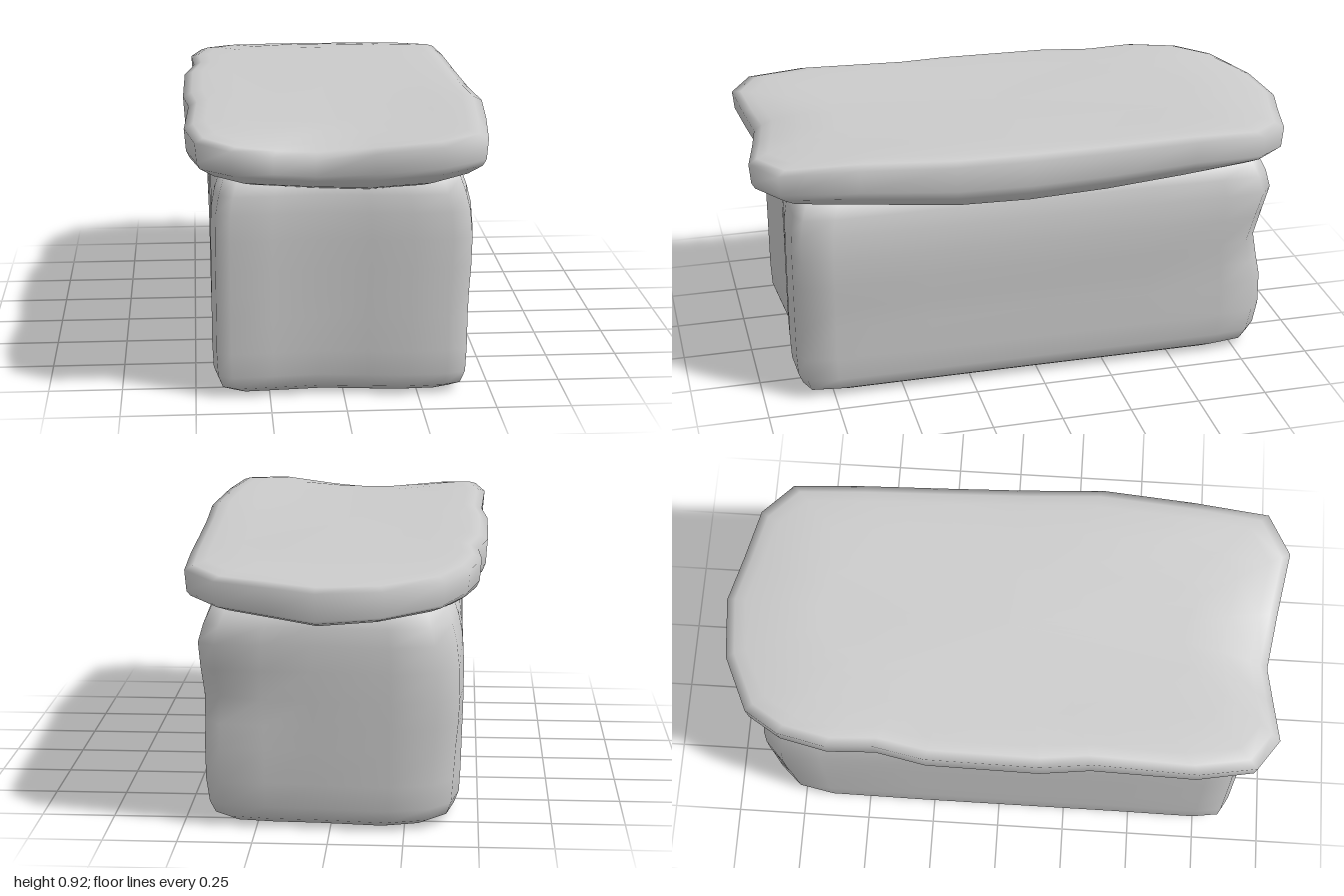
import * as THREE from 'three';

// Skin a stack of [x, y, z] rings into one smooth closed surface
function loft(rings, name, material) {
  const n = rings[0].length;
  const pos = rings.flat(2);
  const idx = [];
  for (let r = 0; r < rings.length - 1; r++) {
    for (let i = 0; i < n; i++) {
      const a = r * n + i, b = r * n + (i + 1) % n;
      idx.push(a, b, b + n, a, b + n, a + n);
    }
  }
  // close both ends with a fan around the middle of the ring
  [[0, true], [rings.length - 1, false]].forEach(([r, flip]) => {
    const c = pos.length / 3;
    for (let k = 0; k < 3; k++) pos.push(rings[r].reduce((s, p) => s + p[k], 0) / n);
    for (let i = 0; i < n; i++) {
      const a = r * n + i, b = r * n + (i + 1) % n;
      if (flip) idx.push(c, b, a); else idx.push(c, a, b);
    }
  });
  const geo = new THREE.BufferGeometry();
  geo.setAttribute('position', new THREE.Float32BufferAttribute(pos, 3));
  geo.setIndex(idx);
  geo.computeVertexNormals();
  const mesh = new THREE.Mesh(geo, material);
  mesh.name = name;
  return mesh;
}

// Pull an outline point inward by d on both axes
const inset = ([x, z], d, hx, hz) => [x * (1 - d / hx), z * (1 - d / hz)];

// Smooth bump of the given width
const bump = (v, centre, width) => Math.exp(-(((v - centre) / width) ** 2));

// Outlines run counter-clockwise seen from above, starting at the front
const lidOutline = [
  [-0.38, 0.977], [-0.24, 0.955], [-0.1, 0.932], [0.1, 0.962], [0.32, 1.0], [0.465, 0.92],
  [0.495, 0.65], [0.527, 0.32], [0.515, 0.05], [0.505, -0.25], [0.495, -0.55],
  [0.485, -0.8], [0.38, -0.91], [0.2, -0.955], [0.04, -1.0], [-0.18, -0.98],
  [-0.38, -0.89], [-0.46, -0.77], [-0.5, -0.6], [-0.49, -0.43], [-0.525, -0.25],
  [-0.53, 0.15], [-0.51, 0.33], [-0.525, 0.7], [-0.49, 0.9],
];
const bodyOutline = [
  [-0.38, 0.872], [-0.24, 0.862], [-0.08, 0.85], [0.08, 0.867], [0.22, 0.88], [0.35, 0.875],
  [0.415, 0.85], [0.43, 0.74], [0.43, 0.4], [0.43, 0], [0.432, -0.4], [0.435, -0.68],
  [0.425, -0.81], [0.37, -0.855], [0.22, -0.86], [0.05, -0.862], [-0.2, -0.882],
  [-0.34, -0.845], [-0.41, -0.77], [-0.437, -0.64], [-0.44, -0.3],
  [-0.44, 0.1], [-0.44, 0.45], [-0.442, 0.75], [-0.428, 0.845],
];

// Wavy upper and lower faces of the slab
const lidTop = (x, z) => 0.905
  + (x > 0 ? 0.02 : 0.01) * bump(z, 0.6, 0.4) * Math.min(1, (x / 0.42) ** 2)
  - 0.09 * Math.max(0, (z - 0.7) / 0.3) ** 2 * (1 - Math.min(1, Math.abs(x + 0.1) / 0.32))
  - 0.045 * Math.max(0, (-z - 0.65) / 0.35) ** 1.5;
const lidBottom = (x, z) => 0.7 + 0.018 * z * z
  + 0.045 * Math.min(1, Math.abs(x) / 0.42) * Math.min(1, (Math.abs(z) / 0.8) ** 1.5);

export function createModel() {
  const group = new THREE.Group();
  group.name = 'stoneChest';
  const stone = new THREE.MeshStandardMaterial({ color: 0xcccccc, roughness: 0.9 });

  // Body: rounded block with worn edges and a chipped back corner
  const bodyLevels = [
    [0.3, 0], [0.14, 0.001], [0.055, 0.008], [0.02, 0.03], [0.004, 0.075], [0, 0.16],
    [0, 0.28], [0, 0.36], [0, 0.45], [0, 0.55], [0.003, 0.64], [0.014, 0.7],
    [0.03, 0.75], [0.1, 0.79],
  ];
  const body = bodyLevels.map(([d, y]) => bodyOutline.map((p) => {
    let [x, z] = inset(p, d, 0.44, 0.87);
    const corner = bump(x, 0.42, 0.16) * bump(z, -0.84, 0.15);
    const chip = corner * bump(y, 0.45, 0.12);
    const knob = corner * (bump(y, 0.65, 0.09) - bump(y, 0, 0.12));
    const swell = bump(y, 0.47, 0.22) * bump(x, -0.4, 0.12) * bump(z, -0.8, 0.16);
    if (x > 0) x += 0.013 * bump(y, 0.53, 0.16);
    x += 0.012 * knob - 0.008 * chip - 0.024 * swell;
    z += 0.042 * chip - 0.02 * knob - 0.024 * swell;
    return [x, y, z];
  }));
  group.add(loft(body, 'body', stone));

  // Lid: [inset, share of the way from lower to upper face]
  const lidLevels = [
    [0.32, 0], [0.18, 0], [0.11, 0], [0.065, 0.08], [0.018, 0.3],
    [0.006, 0.45], [0, 0.9], [0.03, 0.97], [0.07, 1], [0.18, 1], [0.32, 1],
  ];
  const lid = lidLevels.map(([d, t]) => lidOutline.map((p) => {
    const [x, z] = inset(p, d, 0.52, 0.98);
    // the edge is cut steeper at the back
    const steep = t < 0.5 ? 1 - 0.5 * bump(p[1], -1, 0.2) : 1;
    return [x, THREE.MathUtils.lerp(lidBottom(x, z), lidTop(x, z), t * steep), z];
  }));
  group.add(loft(lid, 'lid', stone));

  return group;
}
